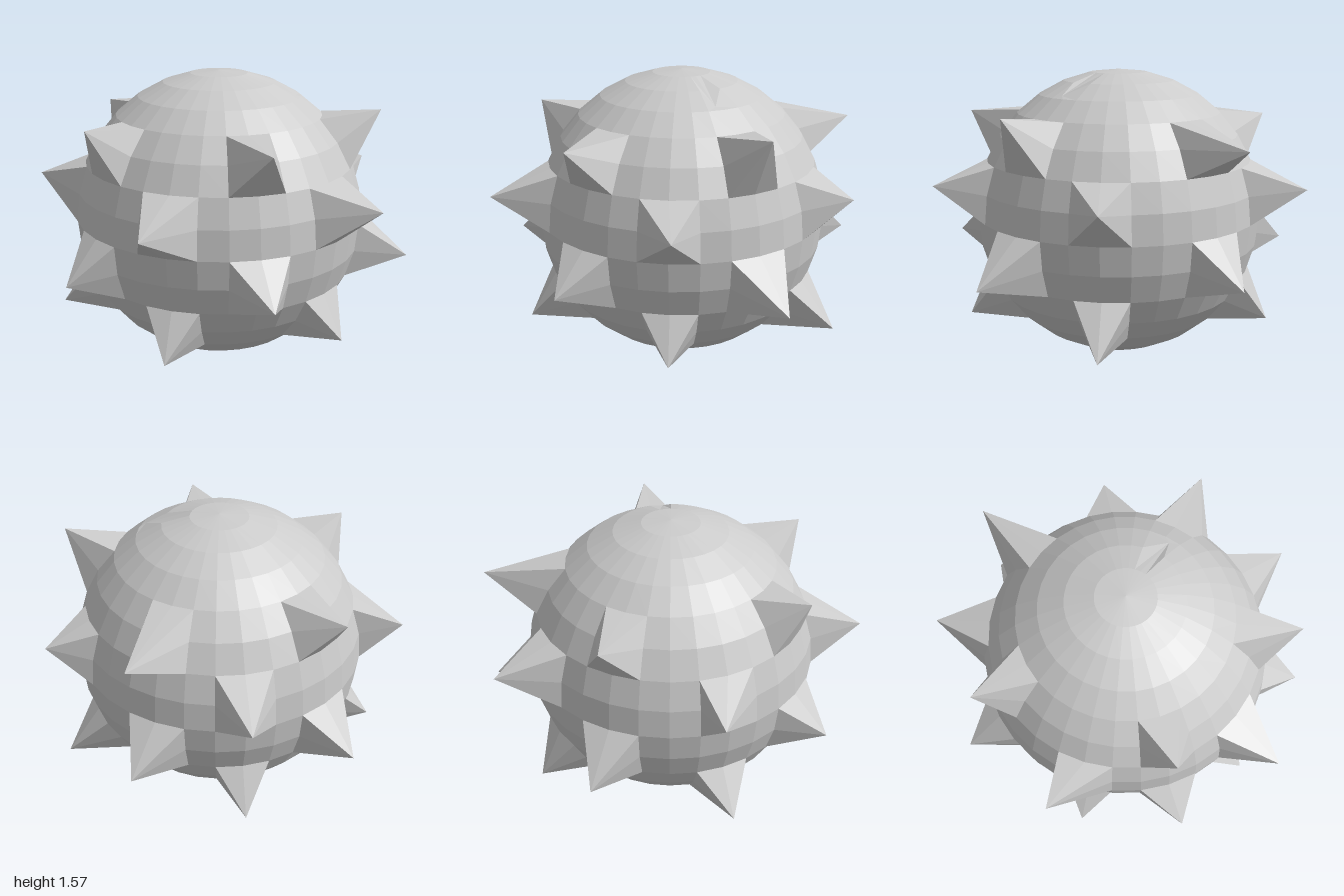
import * as THREE from 'three';

const R = 0.785;
const CENTRE = new THREE.Vector3(-0.01, R, 0.02);
const ROWS = 16, COLS = 32;

// Each spike: grid row and column of its middle, then the tip position
const SPIKES = [
  // slight dent near the top
  [2, 5, 0.31, 1.45, 0.275],
  // upper ring
  [5, -1, -0.17, 1.315, 0.9], [5, 5, 0.705, 1.38, 0.5], [5, 12, 0.71, 1.243, -0.675],
  [5, -14, -0.35, 1.3, -0.78], [5, -7, -0.815, 1.35, 0.18],
  // ring above the equator
  [7, 8, 0.962, 0.98, 0], [7, 2, 0.415, 0.984, 0.95], [7, -4, -0.764, 0.953, 0.74],
  [7, -10, -0.875, 0.984, -0.476], [7, 15, 0.217, 0.968, -0.996],
  // ring below the equator
  [9, 5, 0.86, 0.567, 0.604], [9, -1, -0.2, 0.595, 0.996], [9, -7, -0.965, 0.578, 0.233],
  [9, -14, -0.39, 0.554, -0.908], [9, 12, 0.72, 0.565, -0.67],
  // lower ring
  [11, 8, 0.904, 0.24, 0.016], [11, 2, 0.315, 0.256, 0.8], [11, -4, -0.615, 0.26, 0.65],
  [11, -10, -0.827, 0.255, -0.32], [11, 15, 0.16, 0.231, -0.815],
];

// Point of the ball's grid: row counts down from the pole, column turns from +z to +x
function gridPoint(row, col) {
  return new THREE.Vector3()
    .setFromSphericalCoords(R, (row / ROWS) * Math.PI, (col / COLS) * Math.PI * 2)
    .add(CENTRE);
}

function meshFrom(points, material, name) {
  const geometry = new THREE.BufferGeometry().setFromPoints(points);
  geometry.computeVertexNormals();
  const mesh = new THREE.Mesh(geometry, material);
  mesh.name = name;
  return mesh;
}

// Faceted ball, left open where the spikes grow out of it
function makeBall(material) {
  const open = new Set();
  for (const [row, col] of SPIKES) {
    for (const r of [row - 1, row]) {
      for (const c of [col - 1, col]) open.add(r * COLS + ((c + COLS) % COLS));
    }
  }
  const points = [];
  for (let r = 0; r < ROWS; r++) {
    for (let c = 0; c < COLS; c++) {
      if (open.has(r * COLS + c)) continue;
      const tl = gridPoint(r, c), tr = gridPoint(r, c + 1);
      const bl = gridPoint(r + 1, c), br = gridPoint(r + 1, c + 1);
      if (r > 0) points.push(tl, br, tr);
      if (r < ROWS - 1) points.push(tl, bl, br);
    }
  }
  return meshFrom(points, material, 'ball');
}

// Spike: a fan from the eight rim points of a two-by-two patch to its tip
const RIM = [[-1, -1], [0, -1], [1, -1], [1, 0], [1, 1], [0, 1], [-1, 1], [-1, 0]];

function makeSpike([row, col, x, y, z], material) {
  const tip = new THREE.Vector3(x, y, z);
  const rim = RIM.map(([dr, dc]) => gridPoint(row + dr, col + dc));
  const points = rim.flatMap((p, i) => [p, rim[(i + 1) % rim.length], tip]);
  return meshFrom(points, material, 'spike');
}

export function createModel() {
  const material = new THREE.MeshStandardMaterial({ color: 0xcccccc, flatShading: true });
  const model = new THREE.Group();
  model.name = 'spikedBall';
  const spikes = new THREE.Group();
  spikes.name = 'spikes';
  for (const spike of SPIKES) spikes.add(makeSpike(spike, material));
  model.add(makeBall(material), spikes);
  return model;
}
